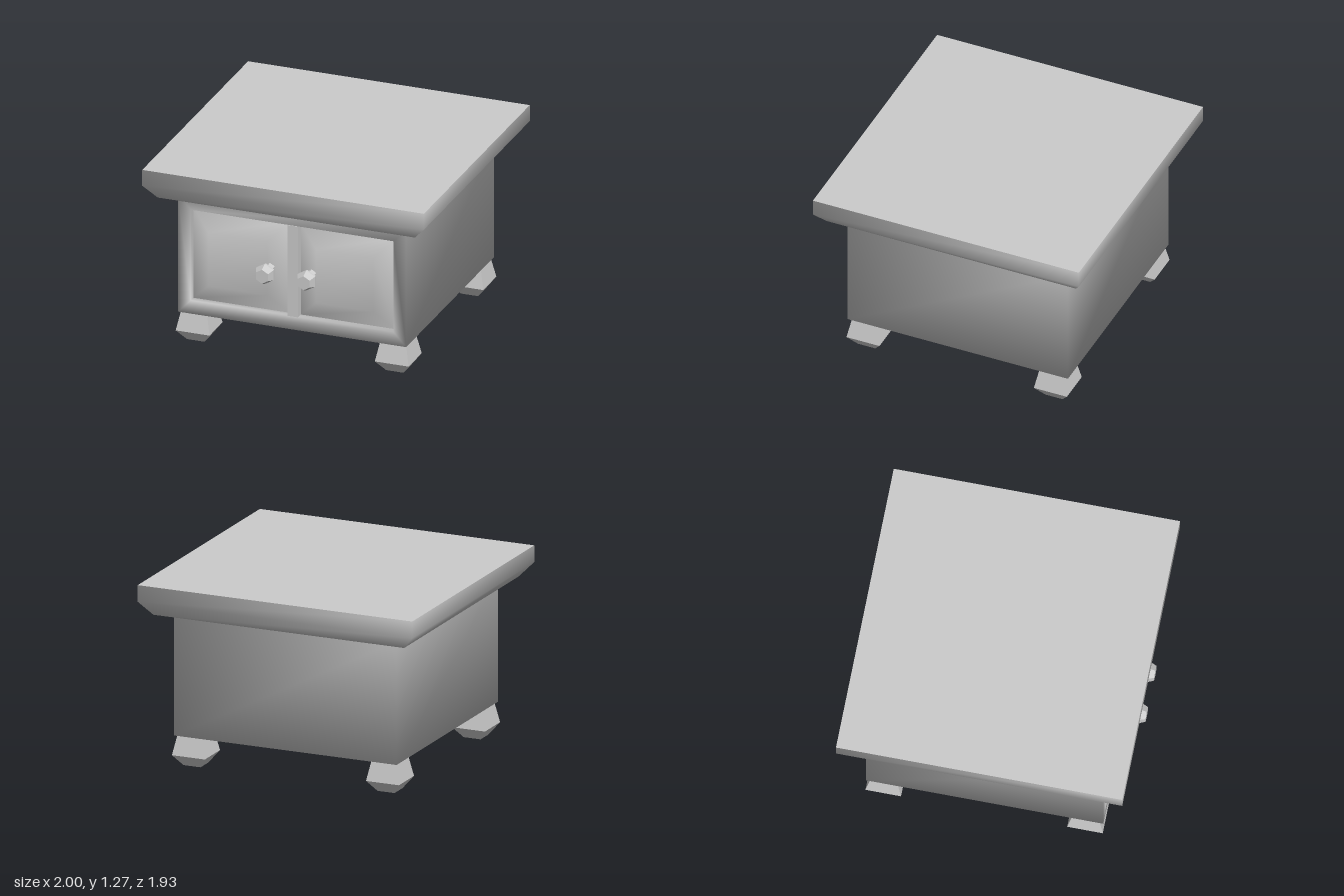
import * as THREE from 'three';
import { mergeGeometries, mergeVertices } from 'three/addons/utils/BufferGeometryUtils.js';

const material = new THREE.MeshStandardMaterial({ color: 0xcccccc });
const facetedMaterial = new THREE.MeshStandardMaterial({ color: 0xcccccc, flatShading: true });

// Rectangular rings, counter-clockwise seen from +y or +z.
const ringY = (hx, hz, y, cz = 0) =>
  [[hx, y, cz + hz], [hx, y, cz - hz], [-hx, y, cz - hz], [-hx, y, cz + hz]];
const ringZ = (x0, x1, y0, y1, z) => [[x0, y0, z], [x1, y0, z], [x1, y1, z], [x0, y1, z]];

// Skins a stack of four-cornered rings; skip(level, side) leaves a quad open.
function loft(rings, { start = false, end = false, skip = () => false } = {}) {
  const index = [];
  const quad = (a, b, c, d) => index.push(a, b, c, a, c, d);
  for (let i = 0; i < rings.length - 1; i++) {
    for (let j = 0; j < 4; j++) {
      if (skip(i, j)) continue;
      const k = (j + 1) % 4;
      quad(i * 4 + j, i * 4 + k, i * 4 + 4 + k, i * 4 + 4 + j);
    }
  }
  if (start) quad(3, 2, 1, 0);
  const e = (rings.length - 1) * 4;
  if (end) quad(e, e + 1, e + 2, e + 3);
  const geometry = new THREE.BufferGeometry();
  geometry.setAttribute('position', new THREE.Float32BufferAttribute(rings.flat(2), 3));
  geometry.setIndex(index);
  geometry.computeVertexNormals();
  return geometry;
}

function mesh(name, geometry, mat = material) {
  const m = new THREE.Mesh(geometry, mat);
  m.name = name;
  return m;
}

export function createModel() {
  const model = new THREE.Group();

  // Cabinet body flaring into the moulded edge of the top, open at the front
  const shell = loft([
    ringY(0.81, 0.8, 0.215),
    ringY(0.81, 0.8, 1.065),
    ringY(0.913, 0.905, 1.065),
    ringY(1, 0.965, 1.16),
    ringY(1, 0.965, 1.275),
  ], { start: true, skip: (level, side) => level === 0 && side === 3 });

  // Front frame with a shallow recess for the doors
  const frame = loft([
    ringZ(-0.81, 0.81, 0.215, 1.065, 0.8),
    ringZ(-0.72, 0.72, 0.31, 0.965, 0.8),
    ringZ(-0.72, 0.72, 0.31, 0.965, 0.75),
  ], { end: true });

  // Weld both so the shading flows over the corners
  const carcass = mergeVertices(mergeGeometries([shell, frame].map((g) => g.deleteAttribute('normal'))));
  carcass.computeVertexNormals();
  model.add(mesh('cabinetBody', carcass));

  // Flat table top
  const top = mesh('tableTop', new THREE.PlaneGeometry(2, 1.93).rotateX(-Math.PI / 2));
  top.position.y = 1.275;
  model.add(top);

  // Post between the doors
  const post = mesh('centrePost', new THREE.BoxGeometry(0.075, 0.655, 0.055));
  post.position.set(0.006, 0.6375, 0.7775);
  model.add(post);

  // Raised-panel doors with six-sided knobs
  const knobProfile = [[0.042, 0.82], [0.034, 0.865], [0.072, 0.9], [0.072, 0.915], [0.05, 0.965], [0, 0.965]]
    .map(([r, z]) => new THREE.Vector2(r, z));
  const knob = new THREE.LatheGeometry(knobProfile, 6).rotateX(Math.PI / 2);
  const bevel = 0.135;
  for (const [side, x0, x1, knobX] of [['right', -0.72, -0.032, -0.15], ['left', 0.044, 0.72, 0.145]]) {
    const door = new THREE.Group();
    door.name = `${side}Door`;
    door.add(mesh('doorPanel', loft([
      ringZ(x0, x1, 0.31, 0.965, 0.752),
      ringZ(x0 + bevel, x1 - bevel, 0.31 + bevel, 0.965 - bevel, 0.824),
    ], { end: true })));
    const handle = mesh('knob', knob, facetedMaterial);
    handle.position.set(knobX, 0.638, 0);
    door.add(handle);
    model.add(door);
  }

  // Square tapered feet
  const foot = loft([
    ringY(0.062, 0.062, 0),
    ringY(0.12, 0.12, 0.077),
    ringY(0.092, 0.092, 0.215),
  ], { start: true, end: true });
  for (const x of [-0.707, 0.707]) {
    for (const z of [-0.68, 0.68]) {
      const m = mesh(`${z > 0 ? 'front' : 'back'}${x > 0 ? 'Left' : 'Right'}Foot`, foot, facetedMaterial);
      m.position.set(x, 0, z);
      model.add(m);
    }
  }
  return model;
}
